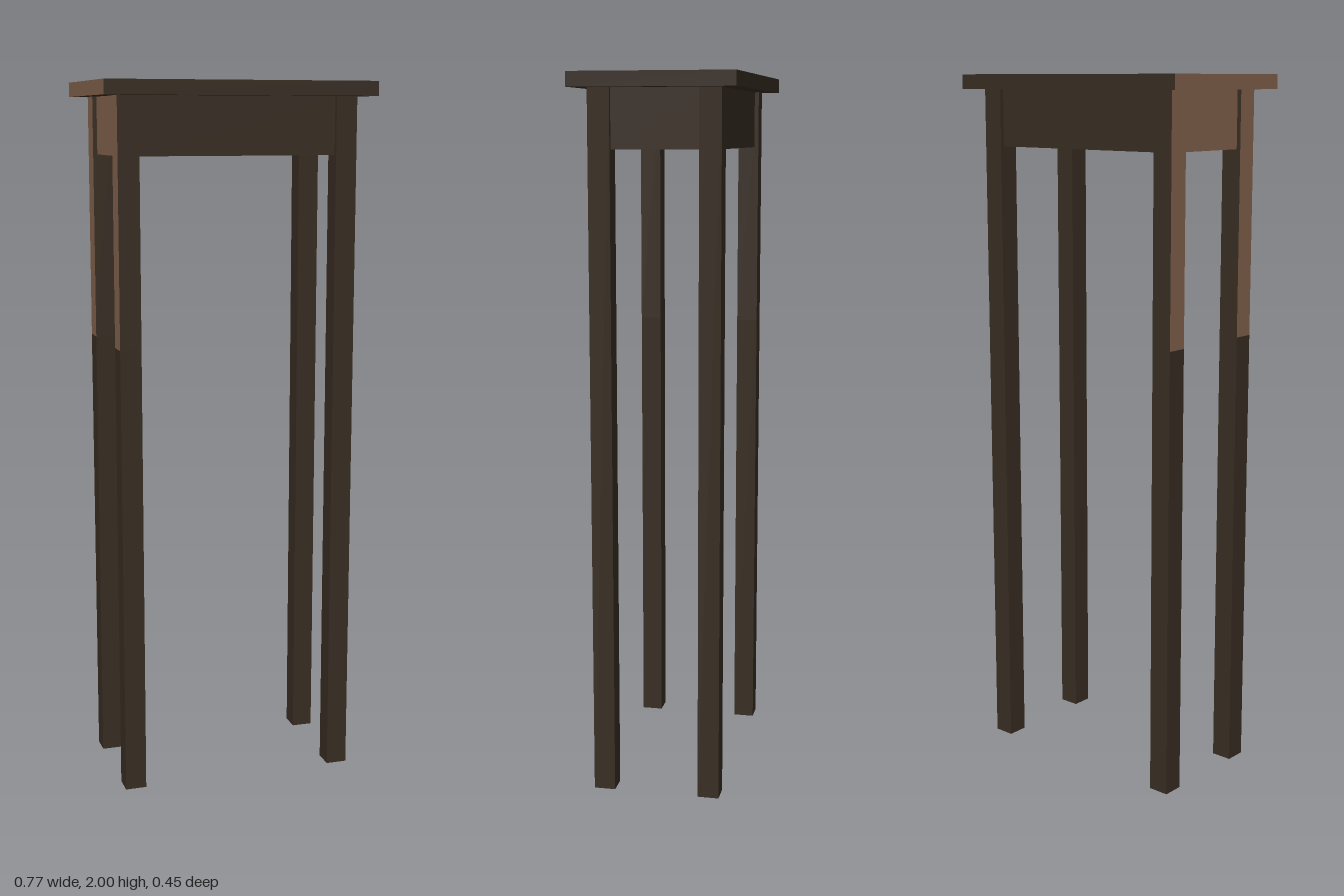
import * as THREE from 'three';

export function createModel() {
  const dark = new THREE.MeshStandardMaterial({ color: 0x372c22 });
  dark.name = 'dark wood';
  const brown = new THREE.MeshStandardMaterial({ color: 0x84634e });
  brown.name = 'warm wood';

  const table = new THREE.Group();
  table.name = 'tallSideTable';

  // Box from its minimum and maximum corners; face order is +x -x +y -y +z -z
  function box(name, min, max, materials = dark) {
    const size = max.map((v, i) => v - min[i]);
    const mesh = new THREE.Mesh(new THREE.BoxGeometry(...size), materials);
    mesh.position.set(...max.map((v, i) => (v + min[i]) / 2));
    mesh.name = name;
    table.add(mesh);
  }
  const brownSide = [dark, brown, dark, dark, dark, dark];

  // Table top, overhanging the frame
  box('tableTop', [-0.385, 1.96, -0.225], [0.385, 2, 0.225],
    [dark, brown, brown, dark, dark, dark]);

  // Four square legs; the -x pair has a warm upper outer face
  for (const z of [-0.18, 0.12]) {
    const end = z < 0 ? 'Back' : 'Front';
    box('leg' + end + 'Left', [0.28, 0, z], [0.34, 1.96, z + 0.06]);
    box('leg' + end + 'RightLower', [-0.34, 0, z], [-0.28, 1.28, z + 0.06]);
    box('leg' + end + 'RightUpper', [-0.34, 1.28, z], [-0.28, 1.96, z + 0.06], brownSide);
  }

  // Apron boards between the legs, slightly set back, open underneath
  box('apronFront', [-0.28, 1.8, 0.145], [0.28, 1.96, 0.168]);
  box('apronBack', [-0.28, 1.8, -0.168], [0.28, 1.96, -0.145]);
  box('apronLeft', [0.305, 1.8, -0.12], [0.328, 1.96, 0.12]);
  box('apronRight', [-0.328, 1.8, -0.12], [-0.305, 1.96, 0.12], brownSide);

  return table;
}
